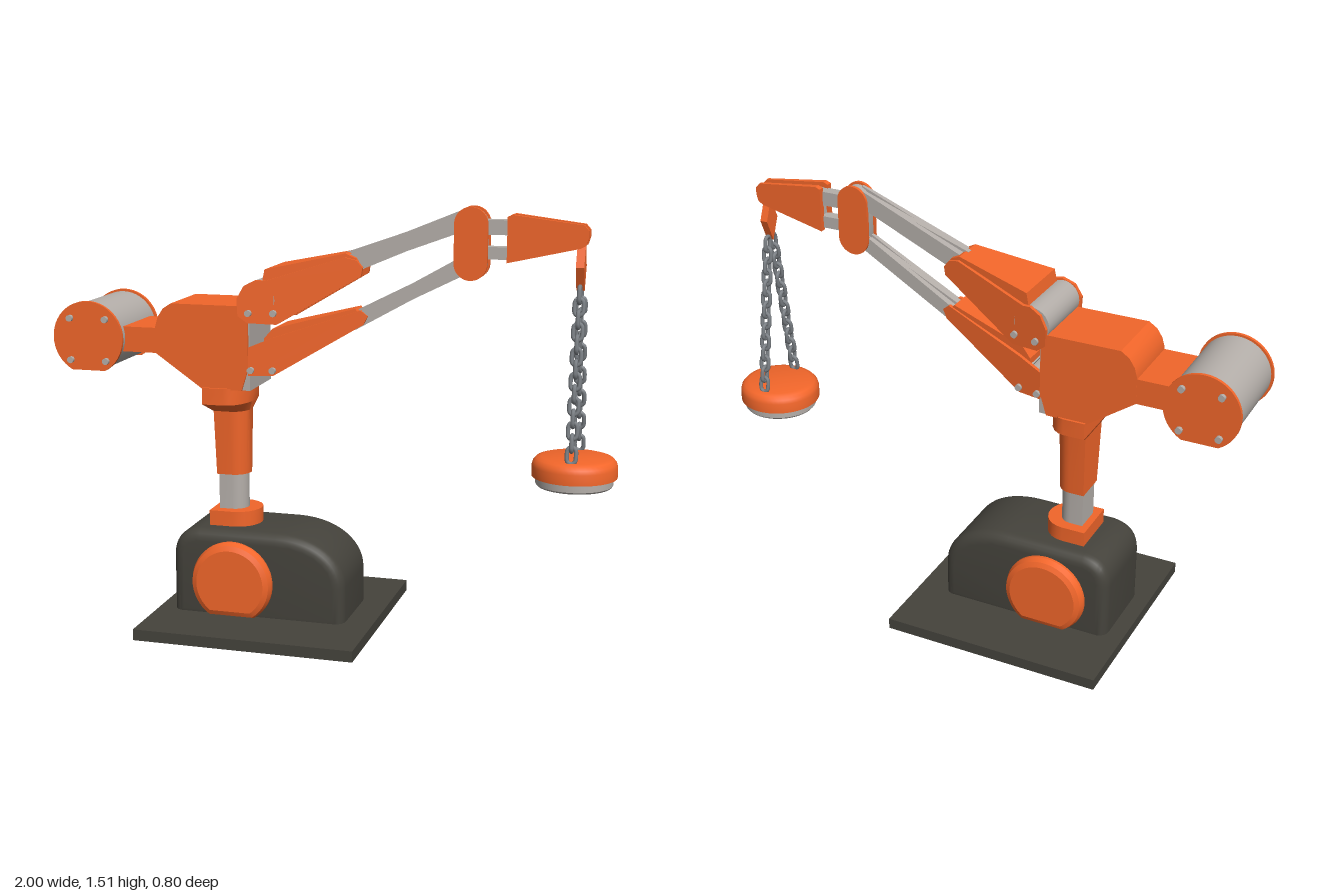
import * as THREE from 'three';
import { toCreasedNormals } from 'three/addons/utils/BufferGeometryUtils.js';

const material = (color) => new THREE.MeshStandardMaterial({ color });
const orange = material(0xf2662a);
const grey = material(0xb5afaa);
const dark = material(0x45433c);
const steel = material(0x7c8186);

const shapeOf = (pts) => new THREE.Shape(pts.map(([x, y]) => new THREE.Vector2(x, y)));

// Disc outline with its bottom cut flat at height cut
function cutDisc(cx, cy, r, cut) {
  const a = Math.asin((cut - cy) / r);
  const pts = [];
  for (let i = 0; i <= 40; i++) {
    const t = a + (Math.PI - 2 * a) * i / 40;
    pts.push([cx + r * Math.cos(t), cy + r * Math.sin(t)]);
  }
  return pts;
}

// Upright stadium outline
function stadium(cx, cy, r, half) {
  const pts = [];
  for (let i = 0; i < 32; i++) {
    const t = Math.PI * (i + 0.5) / 16;
    pts.push([cx + r * Math.cos(t), cy + r * Math.sin(t) + (t < Math.PI ? half : -half)]);
  }
  return pts;
}

// Extrusion whose two faces follow z = lo(x) and z = hi(x)
function prism(pts, lo, hi) {
  const geo = new THREE.ExtrudeGeometry(shapeOf(pts), { depth: 1, bevelEnabled: false });
  const p = geo.attributes.position;
  for (let i = 0; i < p.count; i++) {
    const x = p.getX(i);
    p.setZ(i, THREE.MathUtils.lerp(lo(x), hi(x), p.getZ(i)));
  }
  return toCreasedNormals(geo, 0.45);
}

// Stack of horizontal rings, flat at the back (-x) and round at the front (+x)
function column(levels) {
  const rings = levels.map(([y, x0, x1, hz]) => {
    const c = (x0 + x1) / 2, ring = [];
    for (let i = 0; i <= 12; i++) {
      const t = -Math.PI / 2 + Math.PI * i / 12;
      ring.push([c + (x1 - c) * Math.cos(t), y, -hz * Math.sin(t)]);
    }
    return [...ring, [x0, y, -hz], [x0, y, hz]];
  });
  const out = [], n = rings[0].length;
  for (let r = 0; r + 1 < rings.length; r++) {
    for (let j = 0; j < n; j++) {
      const k = (j + 1) % n, a = rings[r], b = rings[r + 1];
      out.push(...a[j], ...a[k], ...b[k], ...a[j], ...b[k], ...b[j]);
    }
  }
  const bottom = rings[0], top = rings[rings.length - 1];
  for (let j = 1; j + 1 < n; j++) {
    out.push(...bottom[0], ...bottom[j + 1], ...bottom[j], ...top[0], ...top[j], ...top[j + 1]);
  }
  const geo = new THREE.BufferGeometry();
  geo.setAttribute('position', new THREE.Float32BufferAttribute(out, 3));
  return toCreasedNormals(geo, 0.45);
}

export function createModel() {
  const model = new THREE.Group();
  const add = (name, geo, mat, x = 0, y = 0, z = 0, parent = model) => {
    const mesh = new THREE.Mesh(geo, mat);
    mesh.name = name;
    mesh.position.set(x, y, z);
    parent.add(mesh);
    return mesh;
  };
  const solid = (name, pts, w, mat) => {
    const f = typeof w === 'number' ? () => w : w;
    return add(name, prism(pts, (x) => -f(x), f), mat);
  };
  // Matching plates on both sides, from z = inner to z = outer
  const plates = (name, pts, inner, outer, mat) => {
    add(name, prism(pts, inner, outer), mat);
    add(name, prism(pts, (x) => -outer(x), (x) => -inner(x)), mat);
  };
  const bolts = (spots, z) => {
    for (const [x, y] of spots) for (const s of [-1, 1]) {
      add('bolt', new THREE.CylinderGeometry(0.012, 0.012, 0.024, 10), grey, x, y, s * z(x)).rotation.x = Math.PI / 2;
    }
  };

  // Base
  add('basePlate', new THREE.BoxGeometry(0.8, 0.04, 0.8), dark, -0.23, 0.02, 0);
  const body = new THREE.Shape();
  body.moveTo(-0.57, 0.01);
  body.lineTo(0.07, 0.01);
  body.lineTo(0.07, 0.17);
  body.bezierCurveTo(0.07, 0.27, -0.03, 0.35, -0.18, 0.35);
  body.lineTo(-0.47, 0.35);
  body.quadraticCurveTo(-0.57, 0.34, -0.57, 0.24);
  const bodyGeo = new THREE.ExtrudeGeometry(body, {
    depth: 0.24, bevelSize: 0.04, bevelThickness: 0.04, bevelOffset: -0.04, bevelSegments: 5, curveSegments: 14,
  });
  bodyGeo.translate(0, 0, -0.12);
  add('baseBody', toCreasedNormals(bodyGeo, 0.6), dark);
  const capGeo = new THREE.ExtrudeGeometry(shapeOf(cutDisc(-0.34, 0.165, 0.15, 0.04)), {
    depth: 0.34, bevelSize: 0.025, bevelThickness: 0.03, bevelOffset: -0.025, bevelSegments: 2,
  });
  capGeo.translate(0, 0, -0.17);
  add('baseSideCaps', toCreasedNormals(capGeo, 0.3), orange);

  // Post
  add('postCollar', column([[0.345, -0.45, -0.28, 0.09], [0.405, -0.45, -0.28, 0.09]]), orange);
  add('post', column([[0.39, -0.425, -0.33, 0.05], [0.56, -0.425, -0.33, 0.05]]), grey);
  add('postSleeve', column([
    [0.535, -0.43, -0.32, 0.06], [0.77, -0.435, -0.315, 0.072],
    [0.805, -0.455, -0.30, 0.135], [0.865, -0.455, -0.30, 0.135],
  ]), orange);

  // Turret
  solid('turret', [
    [-0.457, 0.86], [-0.31, 0.86], [-0.285, 0.94], [-0.285, 1.16], [-0.57, 1.16],
    [-0.6, 1.14], [-0.62, 1.11], [-0.63, 1.075], [-0.63, 0.98],
  ], 0.126, orange);
  add('turretFrontPlate', new THREE.BoxGeometry(0.05, 0.27, 0.236), grey, -0.305, 0.995, 0);

  // Counterweight
  add('counterweightArm', new THREE.BoxGeometry(0.18, 0.09, 0.25), orange, -0.7, 1.025, 0);
  solid('counterweight', cutDisc(-0.87, 1.03, 0.124, 0.92), 0.162, grey);
  plates('counterweightCap', cutDisc(-0.87, 1.03, 0.132, 0.914), () => 0.16, () => 0.172, orange);
  bolts([[-0.935, 1.1], [-0.8, 1.1], [-0.935, 0.95], [-0.8, 0.95]], () => 0.174);

  // Two tapering arms with cheeks, raised cover, core and slotted rod
  const rodHalf = (x) => 0.04 - 0.04 * x;
  function arm(name, { base, tip, cheek, core, ridge, rod, hub, boltSpots }) {
    const w = (x) => THREE.MathUtils.mapLinear(x, -0.3, 0.1, base, tip);
    plates(name + 'Cheek', cheek, (x) => w(x) - 0.014, w, orange);
    solid(name + 'Core', core, (x) => w(x) - 0.012, grey);
    solid(name + 'Cover', ridge, (x) => w(x) * 0.85, orange);
    plates(name + 'RodRail', rod, () => 0.008, rodHalf, grey);
    const c = rod.reduce((s, [, y]) => s + y / rod.length, 0);
    solid(name + 'RodWeb', rod.map(([x, y]) => [x, y + (y > c ? -0.012 : 0.012)]), 0.01, grey);
    const [hx, hy, r] = hub;
    add(name + 'Hub', new THREE.CylinderGeometry(r, r, 2 * base - 0.05, 28), grey, hx, hy, 0).rotation.x = Math.PI / 2;
    bolts(boltSpots, w);
  }
  arm('upperArm', {
    base: 0.15, tip: 0.06,
    cheek: [[-0.18, 1.1], [0.105, 1.27], [0.11, 1.3], [0.09, 1.325], [0.05, 1.335], [-0.22, 1.252], [-0.25, 1.255],
      [-0.29, 1.235], [-0.315, 1.19], [-0.312, 1.13], [-0.28, 1.105]],
    core: [[-0.19, 1.14], [0.09, 1.285], [0.07, 1.315], [-0.23, 1.24]],
    ridge: [[-0.235, 1.24], [0.1, 1.305], [0.085, 1.332], [0.05, 1.348], [-0.225, 1.29]],
    rod: [[0.04, 1.265], [0.46, 1.445], [0.46, 1.508], [0.04, 1.335]],
    hub: [-0.25, 1.185, 0.064],
    boltSpots: [[-0.275, 1.14], [-0.19, 1.14]],
  });
  arm('lowerArm', {
    base: 0.128, tip: 0.045,
    cheek: [[-0.285, 0.915], [-0.2, 0.915], [0.11, 1.1], [0.125, 1.13], [0.1, 1.15], [-0.2, 1.05], [-0.285, 1.015]],
    core: [[-0.2, 0.95], [0.1, 1.11], [0.08, 1.135], [-0.24, 1.02]],
    ridge: [[-0.235, 1.02], [0.11, 1.12], [0.08, 1.155], [-0.205, 1.08], [-0.235, 1.045]],
    rod: [[0.08, 1.08], [0.47, 1.3], [0.47, 1.358], [0.08, 1.135]],
    hub: [-0.245, 0.965, 0.045],
    boltSpots: [[-0.275, 0.935], [-0.2, 0.935]],
  });

  // Elbow
  plates('elbowPlate', stadium(0.48, 1.39, 0.058, 0.067), () => 0.02, () => 0.032, orange);
  solid('elbowCore', stadium(0.48, 1.39, 0.052, 0.065), 0.022, grey);

  // Forearm
  for (const [y, h] of [[1.447, 0.05], [1.36, 0.042]]) {
    add('forearmBar', new THREE.BoxGeometry(0.17, h, 0.042), grey, 0.57, y, 0);
  }
  plates('forearmPlate', [
    [0.605, 1.33], [0.85, 1.385], [0.868, 1.395], [0.876, 1.42], [0.876, 1.445], [0.86, 1.463], [0.622, 1.492], [0.605, 1.485],
  ], () => 0.016, (x) => 0.038 - 0.03 * (x - 0.605), orange);
  solid('forearmCore', [
    [0.61, 1.345], [0.85, 1.4], [0.866, 1.42], [0.862, 1.445], [0.62, 1.475],
  ], 0.018, grey);

  // Diamond hanger
  const hanger = prism([[0, -0.08], [0.034, 0], [0, 0.08], [-0.034, 0]], () => -0.014, () => 0.014);
  add('chainHanger', hanger, orange, 0.85, 1.322, 0).rotation.y = Math.PI / 2;

  // Chains spreading down to the magnet
  const linkPath = new THREE.CatmullRomCurve3(
    stadium(0, 0, 0.015, 0.013).filter((_, i) => i % 2 === 0).map(([x, y]) => new THREE.Vector3(x, y, 0)), true);
  const linkGeo = new THREE.TubeGeometry(linkPath, 28, 0.0075, 7, true);
  for (const s of [-1, 1]) {
    const chain = new THREE.Group();
    chain.name = 'chain';
    chain.position.set(0.85, 1.245, s * 0.016);
    chain.rotation.x = -s * Math.atan(0.085 / 0.55);
    for (let i = 0; i < 14; i++) {
      add('chainLink', linkGeo, steel, 0, -0.015 - i * 0.0415, 0, chain).rotation.y = i % 2 ? 0 : Math.PI / 2;
    }
    model.add(chain);
  }

  // Lifting magnet
  const lathe = (pts) => toCreasedNormals(
    new THREE.LatheGeometry(pts.map(([x, y]) => new THREE.Vector2(x, y)), 48), 0.6);
  add('magnetCover', lathe([
    [0, 0.603], [0.147, 0.603], [0.147, 0.64], [0.143, 0.654], [0.132, 0.666], [0.115, 0.671], [0, 0.673],
  ]), orange, 0.85);
  add('magnetFace', lathe([[0, 0.57], [0.128, 0.57], [0.133, 0.576], [0.133, 0.606], [0, 0.606]]), grey, 0.85);

  return model;
}
